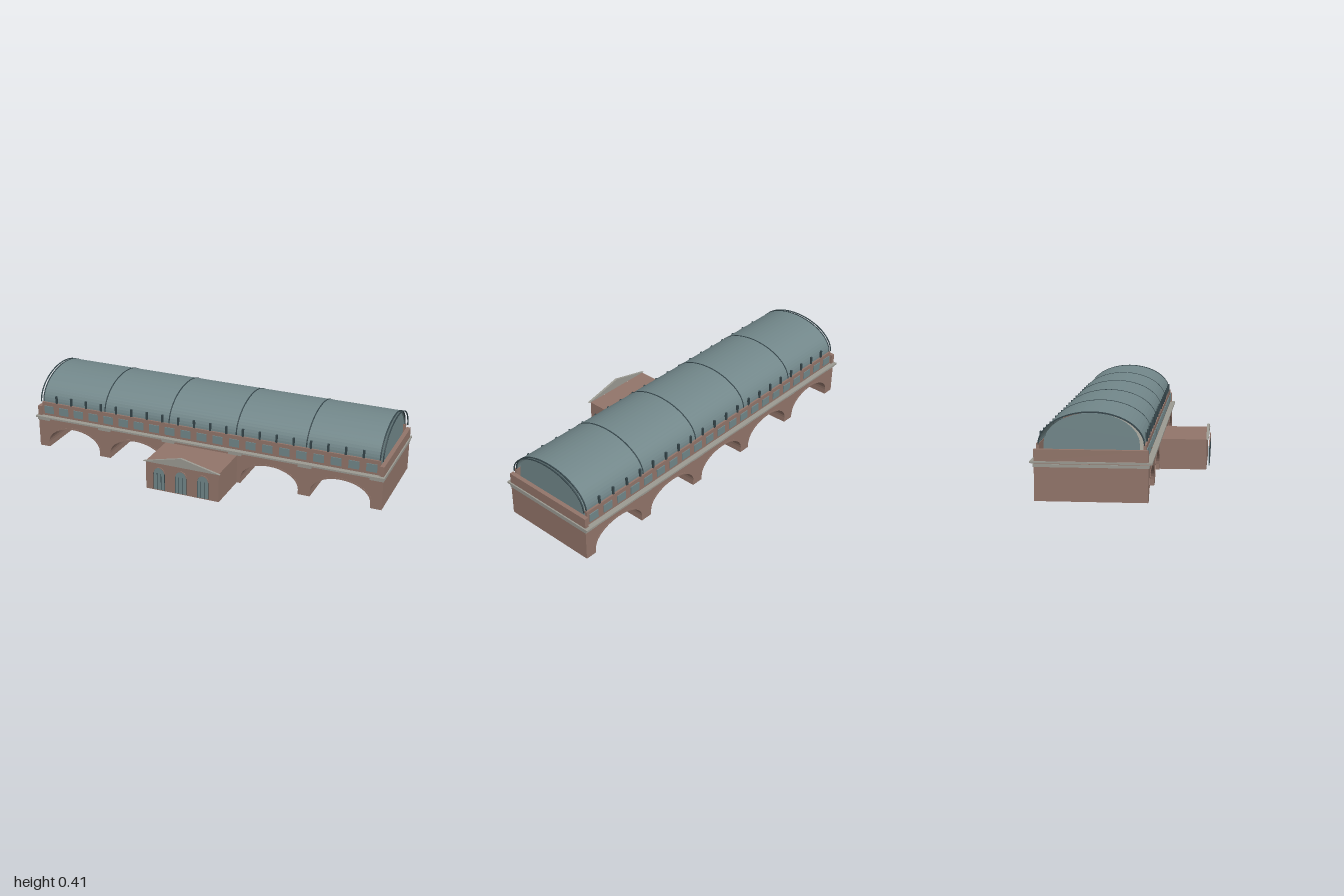
import * as THREE from 'three';

const mat = (name, color) => {
  const m = new THREE.MeshStandardMaterial({ color });
  m.name = name;
  return m;
};

export function createModel() {
  const brick = mat('brick', 0x92756a);
  const stone = mat('stone', 0x9b9a92);
  const glass = mat('glass', 0x72878a);
  const iron = mat('iron', 0x35454a);
  const model = new THREE.Group();
  model.name = 'viaductStation';
  const MID = -0.12; // centre line of the viaduct in z

  const add = (name, geo, material, x = 0, y = 0, z = 0, parent = model) => {
    const m = new THREE.Mesh(geo, material);
    m.name = name;
    m.position.set(x, y, z);
    parent.add(m);
    return m;
  };
  // box given by its limits
  const box = (name, material, x0, x1, y0, y1, z0, z1, parent = model) =>
    add(name, new THREE.BoxGeometry(x1 - x0, y1 - y0, z1 - z0), material,
      (x0 + x1) / 2, (y0 + y1) / 2, (z0 + z1) / 2, parent);
  const extrude = (shape, depth) =>
    new THREE.ExtrudeGeometry(shape, { depth, bevelEnabled: false, curveSegments: 24 });
  // upper half ellipse, from right to left
  const arc = (cx, cy, rx, ry, n) => Array.from({ length: n + 1 }, (_, i) => {
    const a = Math.PI * i / n;
    return new THREE.Vector2(cx + rx * Math.cos(a), cy + ry * Math.sin(a));
  });
  // curved band of thickness t
  const band = (rx, ry, t, depth, n) => extrude(new THREE.Shape(
    [...arc(0, 0, rx, ry, n), ...arc(0, 0, rx - t, ry - t, n).reverse()]), depth);

  // Viaduct body with five arched openings
  const arches = [-2, -1, 0, 1, 2].map(i => i * 0.385);
  const profile = [new THREE.Vector2(0.99, 0), new THREE.Vector2(0.99, 0.177),
    new THREE.Vector2(-0.99, 0.177), new THREE.Vector2(-0.99, 0)];
  for (const x of arches) {
    profile.push(new THREE.Vector2(x - 0.16, 0),
      ...arc(x, 0.03, 0.16, 0.098, 20).reverse(), new THREE.Vector2(x + 0.16, 0));
  }
  add('viaductBody', extrude(new THREE.Shape(profile), 0.522), brick, 0, 0, -0.381);

  // Slim arch rings on both faces
  for (const x of arches) {
    for (const z of [0.14, -0.383]) {
      add('archRing', band(0.168, 0.106, 0.008, 0.003, 20), brick, x, 0.03, z);
    }
  }

  // Pier caps and cornice slab
  for (let i = 0; i < 6; i++) {
    const x = (i - 2.5) * 0.385;
    const c = Math.max(-0.956, Math.min(0.956, x));
    box('pierCap', stone, c - 0.037, c + 0.037, 0.159, 0.173, -0.386, 0.146);
  }
  box('cornice', stone, -0.998, 0.998, 0.177, 0.186, -0.4, 0.16);

  // End walls
  for (const s of [-1, 1]) {
    box('endWall', brick, s * 0.98 - 0.011, s * 0.98 + 0.011, 0.186, 0.24, -0.382, 0.142);
  }

  // Side walls with windows and posts, mirrored front and back
  for (const s of [-1, 1]) {
    const side = new THREE.Group();
    side.name = s > 0 ? 'frontSide' : 'backSide';
    side.position.z = MID;
    model.add(side);
    const z = s * 0.245;
    box('sideWall', brick, -0.968, 0.968, 0.186, 0.264, z - 0.007, z + 0.007, side);
    for (let i = 0; i < 21; i++) {
      const x = -0.925 + i * 0.0925;
      box('window', glass, x - 0.028, x + 0.028, 0.2, 0.243, s * 0.2535 - 0.003, s * 0.2535 + 0.003, side);
    }
    for (let i = 0; i < 20; i++) {
      const x = -0.879 + i * 0.0925;
      box('post', iron, x - 0.005, x + 0.005, 0.26, 0.306, z - 0.005, z + 0.005, side);
    }
  }

  // Barrel roof, its ribs and the free-standing end hoops
  const along = (name, geo, material, xStart, y) => {
    add(name, geo, material, xStart, y, MID).rotation.y = Math.PI / 2;
  };
  along('barrelRoof', band(0.243, 0.15, 0.002, 1.924, 32), glass, -0.962, 0.261);
  for (let i = 0; i < 6; i++) {
    along('roofRib', band(0.2445, 0.152, 0.004, 0.006, 32), iron, (i - 2.5) * 0.385 - 0.003, 0.261);
  }
  for (const s of [-1, 1]) {
    along('endHoop', band(0.2445, 0.152, 0.004, 0.006, 32), iron, s * 0.978 - 0.003, 0.261);
    const gable = new THREE.Shape([new THREE.Vector2(0.22, 0.186),
      ...arc(0, 0.262, 0.22, 0.143, 16), new THREE.Vector2(-0.22, 0.186)]);
    along('glassGable', extrude(gable, 0.008), glass, s * 0.955 - 0.004, 0);
  }

  // Entrance house
  const house = new THREE.Group();
  house.name = 'entranceHouse';
  model.add(house);
  box('houseBlock', brick, -0.205, 0.205, 0, 0.158, 0.138, 0.384, house);
  const pediment = new THREE.Shape([new THREE.Vector2(-0.216, 0.159),
    new THREE.Vector2(0.216, 0.159), new THREE.Vector2(0, 0.21)]);
  add('pediment', extrude(pediment, 0.012), stone, 0, 0, 0.383, house);

  // Arched entrance windows with rims and bars
  for (const x of [-0.123, 0, 0.123]) {
    const pane = new THREE.Shape([new THREE.Vector2(0.031, 0.012),
      ...arc(0, 0.107, 0.031, 0.031, 14), new THREE.Vector2(-0.031, 0.012)]);
    add('entranceWindow', extrude(pane, 0.003), glass, x, 0, 0.395, house);
    add('windowRim', band(0.033, 0.033, 0.004, 0.004, 14), brick, x, 0.107, 0.396, house);
    for (const dx of [-0.031, -0.011, 0.011, 0.031]) {
      box('windowBar', iron, x + dx - 0.0013, x + dx + 0.0013, 0.012, 0.105, 0.397, 0.4, house);
    }
  }
  return model;
}
